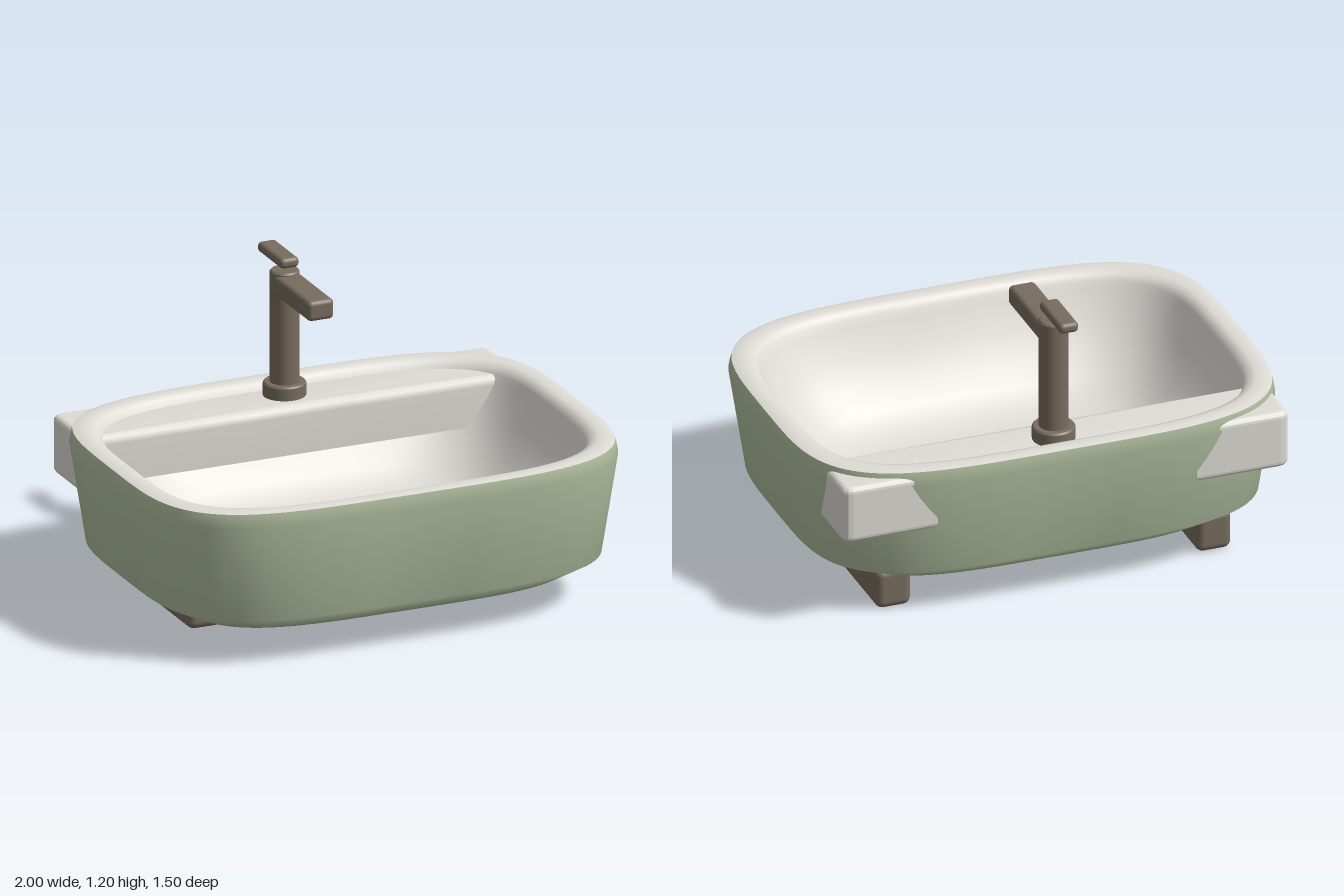
import * as THREE from 'three';
import { RoundedBoxGeometry } from 'three/addons/geometries/RoundedBoxGeometry.js';

const mat = (name, color) => {
  const m = new THREE.MeshStandardMaterial({ color });
  m.name = name;
  return m;
};

// Loft of squarish oval rings [halfX, halfZ, y, frontLimitZ]; the limit cuts the oval flat.
function loft(rings, sides = 128) {
  const pos = [], index = [];
  const root = (v) => Math.sign(v) * Math.sqrt(Math.abs(v));
  rings.forEach(([a, b, y, limit = Infinity], i) => {
    for (let j = 0; j < sides; j++) {
      const t = (j / sides) * Math.PI * 2;
      pos.push(a * root(Math.cos(t)), y, Math.min(b * root(Math.sin(t)), limit));
      if (i === rings.length - 1) continue;
      const p = i * sides + j, q = i * sides + ((j + 1) % sides);
      index.push(p, p + sides, q, q, p + sides, q + sides);
    }
  });
  const g = new THREE.BufferGeometry();
  g.setAttribute('position', new THREE.Float32BufferAttribute(pos, 3));
  g.setIndex(index);
  g.computeVertexNormals();
  return g;
}

export function createModel() {
  const model = new THREE.Group();
  model.name = 'washbasin';
  const green = mat('sage green', 0xb2c0a0);
  const white = mat('ceramic white', 0xdfdcd6);
  const bronze = mat('bronze', 0x786c5f);
  const dark = mat('dark slot', 0x3a3632);

  const add = (name, geometry, material, x = 0, y = 0, z = 0) => {
    const mesh = new THREE.Mesh(geometry, material);
    mesh.name = name;
    mesh.position.set(x, y, z);
    model.add(mesh);
    return mesh;
  };
  // Rounded box given by its min and max corners
  const box = (name, material, [x0, y0, z0], [x1, y1, z1], r) =>
    add(name, new RoundedBoxGeometry(x1 - x0, y1 - y0, z1 - z0, 4, r), material,
      (x0 + x1) / 2, (y0 + y1) / 2, (z0 + z1) / 2);

  // Outer shell, from the underside up to the rim
  add('outerShell', loft([
    [0, 0, 0.125], [0.82, 0.62, 0.125], [0.94, 0.705, 0.19],
    [1, 0.75, 0.595], [0.99, 0.74, 0.65],
  ]), green);

  // Rim, inner wall and floor of the bowl
  add('bowl', loft([
    [0.989, 0.739, 0.645], [0.965, 0.715, 0.652], [0.93, 0.68, 0.652], [0.905, 0.655, 0.642],
    [0.89, 0.64, 0.62], [0.88, 0.63, 0.59], [0.83, 0.58, 0.48], [0.77, 0.52, 0.385],
    [0.69, 0.45, 0.3], [0.6, 0.37, 0.245], [0.48, 0.27, 0.22], [0.25, 0.15, 0.215], [0, 0, 0.215],
  ]), white);

  // Tap shelf along the back of the bowl
  add('tapShelf', loft([
    [0, 0, 0.42, -0.42], [0.9, 0.65, 0.42, -0.42], [0.9, 0.65, 0.42, -0.42],
    [0.9, 0.65, 0.58, -0.42], [0.9, 0.65, 0.605, -0.427], [0.9, 0.65, 0.617, -0.442], [0, 0, 0.62, -0.46],
  ]), white);

  // Drain with three slots
  add('drain', new THREE.CylinderGeometry(0.083, 0.083, 0.02, 48), white, 0, 0.216, 0);
  for (const z of [-0.025, 0, 0.025]) {
    add('drainSlot', new THREE.BoxGeometry(0.085, 0.004, 0.01), dark, 0, 0.2265, z);
  }

  // Rear corner brackets and feet, one on each side
  for (const s of [1, -1]) {
    const plan = [[0.52, 0.69], [0.54, 0.715], [0.89, 0.715], [0.91, 0.71], [0.925, 0.695],
      [0.93, 0.675], [0.93, 0.42], [0.91, 0.42]];
    const shape = new THREE.Shape(plan.map(([x, z]) => new THREE.Vector2(s * x, z)));
    const bracket = new THREE.ExtrudeGeometry(shape, {
      depth: 0.19, bevelEnabled: true, bevelSize: 0.025, bevelThickness: 0.025,
      bevelOffset: -0.025, bevelSegments: 4,
    });
    bracket.rotateX(-Math.PI / 2);
    add(s > 0 ? 'leftBracket' : 'rightBracket', bracket, white, 0, 0.415, 0);

    box(s > 0 ? 'leftFoot' : 'rightFoot', bronze,
      [s * 0.667 - 0.073, 0, -0.58], [s * 0.667 + 0.073, 0.17, 0.185], 0.032);
  }

  // Tap: collar, column, spout and lever
  const tapZ = -0.565;
  const turned = (points) => new THREE.LatheGeometry(points.map(([r, y]) => new THREE.Vector2(r, y)), 48);
  add('tapCollar', turned([[0.085, 0.59], [0.085, 0.59], [0.085, 0.668], [0.085, 0.668],
    [0.079, 0.675], [0.079, 0.675], [0, 0.675]]), bronze, 0, 0, tapZ);
  add('tapColumn', turned([[0.058, 0.66], [0.058, 1.13], [0.058, 1.13], [0.052, 1.137],
    [0.052, 1.137], [0, 1.137]]), bronze, 0, 0, tapZ);
  box('tapSpout', bronze, [-0.056, 1.042, -0.57], [0.056, 1.126, -0.21], 0.02);
  box('tapLever', bronze, [-0.04, 1.157, -0.742], [0.04, 1.2, -0.508], 0.018);

  return model;
}
